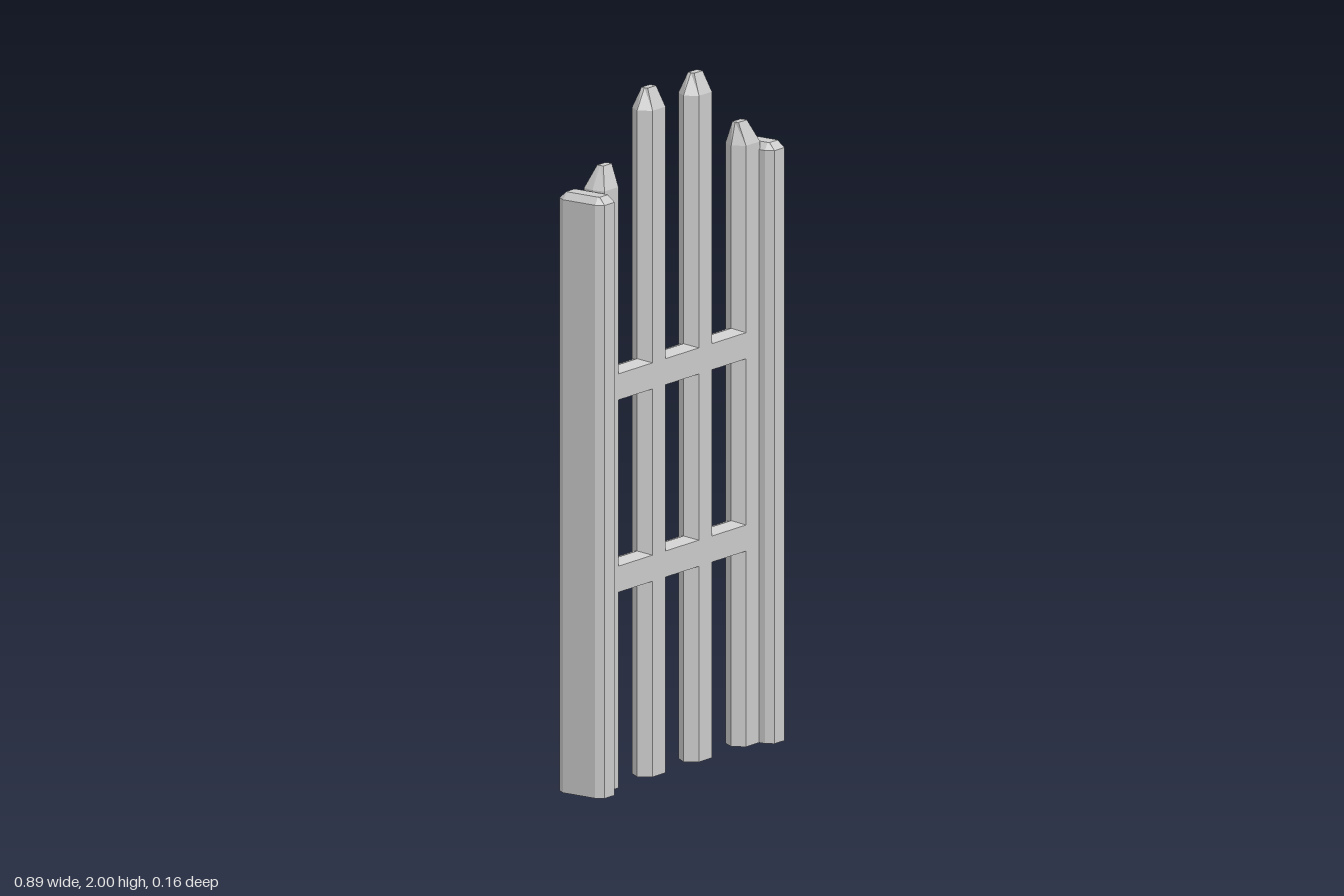
import * as THREE from 'three';

const material = new THREE.MeshStandardMaterial({ color: 0xcccccc, flatShading: true });

// Closed solid through horizontal rings: [{ y, pts: [[x, z], ...] }], points turning from +x to +z
function loft(rings) {
  const pos = [];
  const n = rings[0].pts.length;
  const put = (r, i) => pos.push(rings[r].pts[i % n][0], rings[r].y, rings[r].pts[i % n][1]);
  const last = rings.length - 1;
  for (let r = 0; r < last; r++) {
    for (let i = 0; i < n; i++) {
      put(r, i); put(r + 1, i); put(r + 1, i + 1);
      put(r, i); put(r + 1, i + 1); put(r, i + 1);
    }
  }
  for (let i = 1; i < n - 1; i++) {
    put(last, 0); put(last, i + 1); put(last, i);
    put(0, 0); put(0, i); put(0, i + 1);
  }
  const geo = new THREE.BufferGeometry();
  geo.setAttribute('position', new THREE.Float32BufferAttribute(pos, 3));
  geo.computeVertexNormals();
  return geo;
}

// Six-sided plan: flat front and back from x0 to x1, side edges at outer0 and outer1
const hexagon = (outer0, x0, x1, outer1, d) =>
  [[outer1, 0], [x1, d], [x0, d], [outer0, 0], [x0, -d], [x1, -d]];

// Chamfered rectangle: half sizes w, d with corners cut back to cw, cd
const octagon = (x, w, d, cw, cd) =>
  [[w, cd], [cw, d], [-cw, d], [-w, cd], [-w, -cd], [-cw, -d], [cw, -d], [w, -cd]]
    .map(([a, b]) => [x + a, b]);

// Mirror a ring across x = 0, keeping its turning direction
const mirror = (pts) => pts.map(([x, z]) => [-x, z]).reverse();

export function createModel() {
  const group = new THREE.Group();
  const add = (name, geo) => {
    const mesh = new THREE.Mesh(geo, material);
    mesh.name = name;
    group.add(mesh);
    return mesh;
  };

  // Uprights, each given as rings for the left side and mirrored to the right
  const body = hexagon(0.055, 0.08, 0.142, 0.167, 0.036);
  const outerBody = hexagon(0.283, 0.305, 0.372, 0.38, 0.036);
  const post = octagon(0.406, 0.038, 0.079, 0.024, 0.056);
  const uprights = {
    InnerPicket: [
      { y: 0, pts: body },
      { y: 1.94, pts: body },
      { y: 2, pts: hexagon(0.09, 0.091, 0.131, 0.132, 0.011) },
    ],
    OuterPicket: [
      { y: 0, pts: outerBody },
      { y: 1.75, pts: outerBody },
      { y: 1.815, pts: hexagon(0.302, 0.303, 0.343, 0.344, 0.011) },
    ],
    Post: [
      { y: 0, pts: post },
      { y: 1.727, pts: post },
      { y: 1.747, pts: octagon(0.406, 0.021, 0.059, 0.019, 0.053) },
    ],
  };
  for (const [name, rings] of Object.entries(uprights)) {
    add('left' + name, loft(rings));
    add('right' + name, loft(rings.map(({ y, pts }) => ({ y, pts: mirror(pts) }))));
  }

  // Cross rails with a shallow ridge along the top
  const section = new THREE.Shape([
    [-0.036, 0], [0.036, 0], [0.036, 0.076], [0, 0.088], [-0.036, 0.076],
  ].map(([z, y]) => new THREE.Vector2(z, y)));
  const rail = new THREE.ExtrudeGeometry(section, { depth: 0.76, bevelEnabled: false });
  rail.translate(0, 0, -0.38).rotateY(Math.PI / 2);
  add('lowerRail', rail).position.y = 0.57;
  add('upperRail', rail).position.y = 1.13;

  return group;
}
